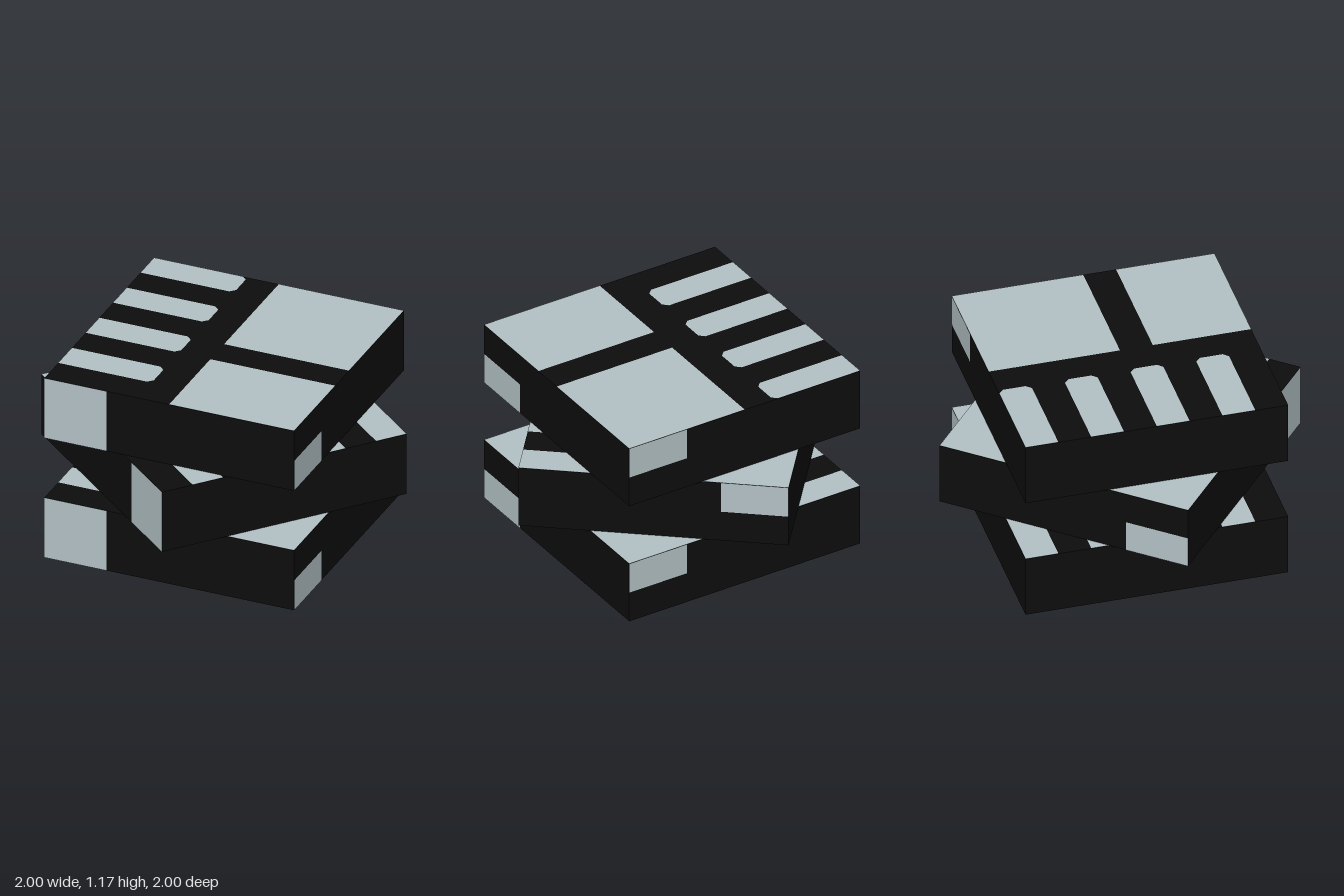
import * as THREE from 'three';

const S = 1.558;        // slab side
const C = S / 8;        // pattern cell
const H = C * 2;        // slab height
const TILT = THREE.MathUtils.degToRad(20);
const LIFT = 0.0015;    // plates sit just above the slab

export function createModel() {
  const black = new THREE.MeshStandardMaterial({ color: 0x0d0d0d });
  black.name = 'black';
  const grey = new THREE.MeshStandardMaterial({ color: 0xb2c0c4 });
  grey.name = 'pale grey';

  // Face frames: orientation and distance from the slab centre
  const faces = {
    top: { rx: -Math.PI / 2, ry: 0, d: H / 2 },
    bottom: { rx: Math.PI / 2, ry: 0, d: H / 2 },
    front: { rx: 0, ry: 0, d: S / 2 },
    back: { rx: 0, ry: Math.PI, d: S / 2 },
    side: { rx: 0, ry: Math.PI / 2, d: S / 2 },
  };

  // Rectangles in cells from the face centre: [face, x0, y0, x1, y1, name, chamfer]
  const plates = [
    ['top', 0, 0, 4, 4, 'largeTopPanel', 0],
    ['top', 0, -4, 4, -1, 'smallTopPanel', 0],
    ['bottom', 0, 2, 4, 4, 'bottomPanel', 0],
    ['bottom', -4, 2, -1, 3, 'bottomStripe', 0.03],
    ['front', -4, -1, -2, 1, 'frontPanel', 0],
    ['back', -4, 0, -2, 1, 'backPanel', 0],
    ['side', -4, -1, -2, 0, 'sidePanel', 0],
  ];
  for (let i = 0; i < 4; i++) {
    plates.push(['top', -4, 3 - 2 * i, -1, 4 - 2 * i, 'topStripe', 0.03]);
  }

  // One painted rectangle, mirrored in x when m is -1
  function plate([face, x0, y0, x1, y1, name, k], m) {
    const [a, b, c, d] = [x0 * C, y0 * C, x1 * C, y1 * C];
    const pts = k
      ? [[a, b], [c - k, b], [c, b + k], [c, d - k], [c - k, d], [a, d]]
      : [[a, b], [c, b], [c, d], [a, d]];
    const shape = new THREE.Shape(pts.map(([x, y]) => new THREE.Vector2(m * x, y)));
    const f = faces[face];
    const geo = new THREE.ShapeGeometry(shape);
    geo.translate(0, 0, f.d + LIFT);
    geo.rotateX(f.rx);
    geo.rotateY(f.ry * m);
    const mesh = new THREE.Mesh(geo, grey);
    mesh.name = name;
    return mesh;
  }

  // Slab with its panels and stripes
  function slab(name, level, m) {
    const g = new THREE.Group();
    g.name = name;
    const body = new THREE.Mesh(new THREE.BoxGeometry(S, H, S), black);
    body.name = 'slabBody';
    g.add(body, ...plates.map((p) => plate(p, m)));
    g.position.y = H * (level + 0.5);
    g.rotation.y = TILT * m;
    return g;
  }

  // Stack of three, the middle one mirrored
  const model = new THREE.Group();
  model.name = 'slabStack';
  model.add(slab('lowerSlab', 0, 1), slab('middleSlab', 1, -1), slab('upperSlab', 2, 1));
  return model;
}
